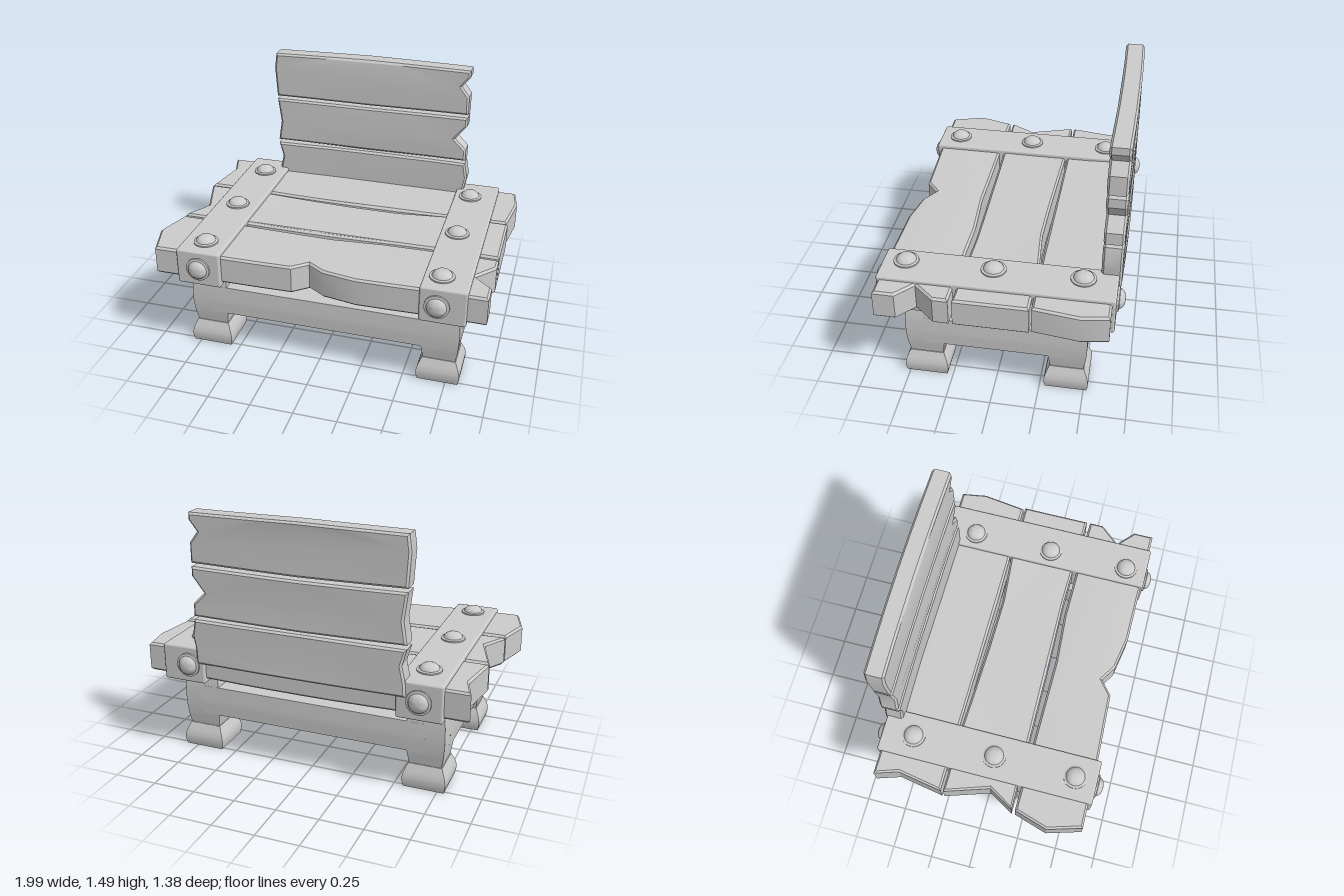
import * as THREE from 'three';
import { toCreasedNormals } from 'three/addons/utils/BufferGeometryUtils.js';
import { RoundedBoxGeometry } from 'three/addons/geometries/RoundedBoxGeometry.js';

const material = new THREE.MeshStandardMaterial({ color: 0xcccccc });

function add(parent, name, geometry, x = 0, y = 0, z = 0) {
  const mesh = new THREE.Mesh(geometry, material);
  mesh.name = name;
  mesh.position.set(x, y, z);
  parent.add(mesh);
  return mesh;
}

// Bevelled plank from a ragged outline; long edges are split so it can bow
function plankGeometry(outline, thickness, bow) {
  const bevel = 0.012;
  const points = [];
  outline.forEach(([x, y], i) => {
    const [nx, ny] = outline[(i + 1) % outline.length];
    const steps = Math.max(1, Math.round(Math.hypot(nx - x, ny - y) / 0.2));
    const n = Math.abs(nx - x) > 0.3 ? steps : 1;
    for (let k = 0; k < n; k++) {
      points.push(new THREE.Vector2(x + (nx - x) * k / n, y + (ny - y) * k / n));
    }
  });
  const geometry = new THREE.ExtrudeGeometry(new THREE.Shape(points), {
    depth: thickness - 2 * bevel, bevelEnabled: true, bevelSize: bevel,
    bevelThickness: bevel, bevelOffset: -bevel, bevelSegments: 1,
  });
  geometry.translate(0, 0, bevel);
  const p = geometry.attributes.position;
  for (let i = 0; i < p.count; i++) {
    const t = Math.min(1, Math.abs(p.getX(i)) / 0.65);
    p.setZ(i, p.getZ(i) + bow * (1 - t * t));
  }
  return toCreasedNormals(geometry, 0.4);
}

// Interpolated half width of a [height, halfWidth] profile
function widthAt(profile, y) {
  const i = Math.max(1, profile.findIndex(([h]) => h >= y - 1e-4));
  const [h0, w0] = profile[i - 1], [h1, w1] = profile[i];
  return w0 + (w1 - w0) * (y - h0) / (h1 - h0);
}

// Square bar whose sides follow a profile; length = 0 shapes both directions
function profiledBar(profile, y0, y1, length = 0) {
  const geometry = new THREE.BoxGeometry(length || 2, y1 - y0, 2, 1, 10, 1);
  geometry.translate(0, (y0 + y1) / 2, 0);
  const p = geometry.attributes.position;
  for (let i = 0; i < p.count; i++) {
    const w = widthAt(profile, p.getY(i));
    if (!length) p.setX(i, p.getX(i) * w);
    p.setZ(i, p.getZ(i) * w);
  }
  return toCreasedNormals(geometry, 0.5);
}

const seatOutlines = {
  seatPlankBack: [[-0.94, -0.63], [0.965, -0.63], [0.99, -0.48], [0.955, -0.22],
    [0.3, -0.215], [-0.2, -0.22], [-0.94, -0.225], [-0.895, -0.49]],
  seatPlankMiddle: [[-0.94, -0.21], [-0.54, -0.21], [0, -0.19], [0.3, -0.185], [0.6, -0.21],
    [0.965, -0.21], [0.965, 0.2], [0.4, 0.185], [-0.1, 0.195], [-0.94, 0.2], [-0.855, 0.05]],
  seatPlankFront: [[-0.94, 0.22], [0, 0.23], [0.3, 0.21], [0.965, 0.22], [0.965, 0.305],
    [0.865, 0.42], [0.965, 0.51], [0.965, 0.63], [0.245, 0.625], [0.05, 0.59],
    [-0.045, 0.53], [-0.13, 0.6], [-0.5, 0.615], [-0.94, 0.62], [-1, 0.42]],
};

const backOutlines = {
  backBoardTop: [[-0.6, 1.487], [0, 1.494], [0.637, 1.487], [0.637, 1.445], [0.588, 1.385],
    [0.637, 1.32], [0.637, 1.205], [0, 1.198], [-0.6, 1.205], [-0.612, 1.395]],
  backBoardMiddle: [[-0.6, 1.185], [0, 1.18], [0.637, 1.185], [0.637, 1.13], [0.565, 1.04],
    [0.637, 0.97], [0.637, 0.897], [0, 0.893], [-0.6, 0.9], [-0.58, 1.03]],
  backBoardBottom: [[-0.6, 0.877], [0, 0.88], [0.637, 0.877], [0.655, 0.78], [0.64, 0.705],
    [0.637, 0.61], [-0.6, 0.61], [-0.595, 0.69], [-0.575, 0.785]],
};

const footProfile = [[0, 0.117], [0.03, 0.124], [0.06, 0.125], [0.09, 0.118], [0.14, 0.097]];
const legProfile = [[0.14, 0.093], [0.22, 0.106], [0.3, 0.111], [0.4, 0.108], [0.5, 0.092]];

export function createModel() {
  const model = new THREE.Group();
  model.name = 'plankChair';

  // Seat planks, laid flat
  for (const [name, outline] of Object.entries(seatOutlines)) {
    const geometry = plankGeometry(outline, 0.17, 0.01);
    geometry.rotateX(Math.PI / 2);
    add(model, name, geometry, 0, 0.68, 0);
  }

  // Upright backrest boards, bowed backwards
  for (const [name, outline] of Object.entries(backOutlines)) {
    add(model, name, plankGeometry(outline, 0.112, -0.01), 0, 0, -0.663);
  }

  // Straps across the seat
  for (const [name, x] of [['strapRight', -0.671], ['strapLeft', 0.728]]) {
    add(model, name, new RoundedBoxGeometry(0.26, 0.216, 1.29, 2, 0.012), x, 0.592, -0.005);
  }

  // Domed bolts with washers: three on top, one on each end of a strap
  const boltProfile = [[0.07, -0.005], [0.07, 0.01], [0.056, 0.013], [0.051, 0.024],
    [0.038, 0.036], [0.02, 0.042], [0, 0.044]].map(([r, y]) => new THREE.Vector2(r, y));
  const boltGeometry = toCreasedNormals(new THREE.LatheGeometry(boltProfile, 24), 0.7);
  const columns = [-0.67, 0.697];
  for (const x of columns) {
    for (const z of [0.51, 0.025, -0.463]) add(model, 'topBolt', boltGeometry, x, 0.698, z);
    add(model, 'frontBolt', boltGeometry, x, 0.592, 0.64).rotation.x = Math.PI / 2;
    add(model, 'backBolt', boltGeometry, x, 0.592, -0.65).rotation.x = -Math.PI / 2;
  }

  // Four legs with bulging feet
  const base = new THREE.Group();
  base.name = 'base';
  model.add(base);
  const foot = profiledBar(footProfile, 0, 0.14);
  const leg = profiledBar(legProfile, 0.14, 0.5);
  const legX = [-0.673, 0.704];
  for (const x of legX) {
    for (const z of [-0.4, 0.4]) {
      add(base, 'foot', foot, x, 0, z);
      add(base, 'leg', leg, x, 0, z);
    }
  }

  // Rails flush with the legs
  const longRail = profiledBar(legProfile, 0.22, 0.4, legX[1] - legX[0]);
  const sideRail = profiledBar(legProfile, 0.22, 0.4, 0.8);
  for (const z of [-0.4, 0.4]) add(base, 'longRail', longRail, (legX[0] + legX[1]) / 2, 0, z);
  for (const x of legX) add(base, 'sideRail', sideRail, x, 0, 0).rotation.y = Math.PI / 2;

  return model;
}
